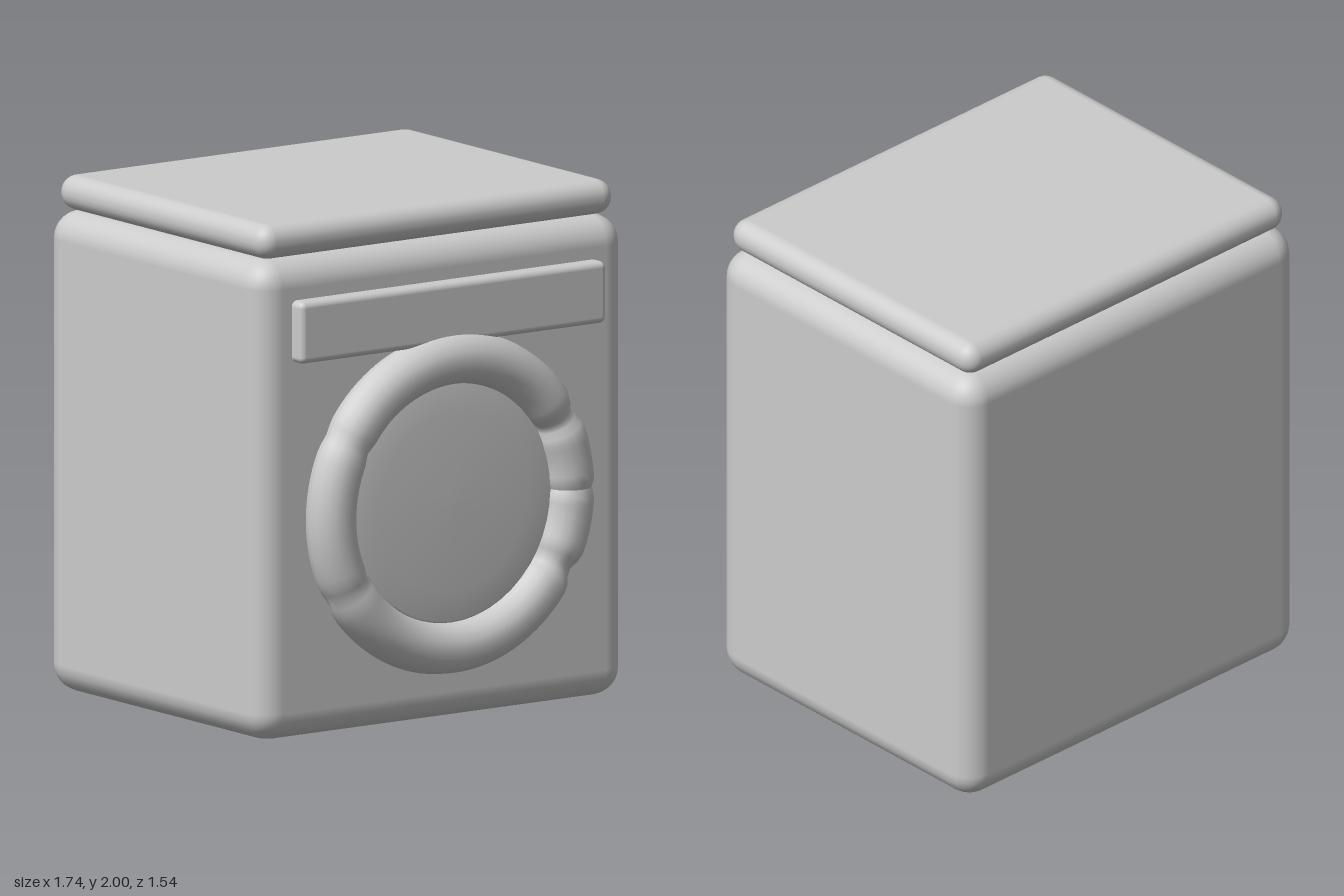
import * as THREE from 'three';
import { RoundedBoxGeometry } from 'three/addons/geometries/RoundedBoxGeometry.js';

export function createModel() {
  const group = new THREE.Group();
  group.name = 'washingMachine';
  const grey = new THREE.MeshStandardMaterial({ color: 0xcccccc });
  grey.name = 'lightGrey';

  const add = (name, geometry, x, y, z) => {
    const mesh = new THREE.Mesh(geometry, grey);
    mesh.name = name;
    mesh.position.set(x, y, z);
    group.add(mesh);
    return mesh;
  };

  // Rounded box given by its size, lower y and front z
  const roundedBox = (name, w, h, d, radius, bottom, front) =>
    add(name, new RoundedBoxGeometry(w, h, d, 3, radius), 0, bottom + h / 2, front - d / 2);

  roundedBox('cabinet', 1.74, 1.865, 1.41, 0.11, 0, 0.64);
  roundedBox('topLid', 1.67, 0.135, 1.352, 0.066, 1.865, 0.612);
  roundedBox('controlPanel', 1.44, 0.24, 0.12, 0.025, 1.47, 0.702);

  // Door ring: a torus whose tube is pinched at a few angles
  const R = 0.56, r = 0.1;
  const pinches = [
    { angle: 0, depth: 0.12, width: 0.03 },
    { angle: 29, depth: 0.28, width: 0.07 },
    { angle: -31, depth: 0.28, width: 0.07 },
    { angle: 150, depth: 0.1, width: 0.06 },
    { angle: 210, depth: 0.1, width: 0.06 },
  ];
  const ring = new THREE.TorusGeometry(R, r, 16, 120);
  const p = ring.attributes.position;
  for (let i = 0; i < p.count; i++) {
    const a = Math.atan2(p.getY(i), p.getX(i));
    let k = 1;
    for (const { angle, depth, width } of pinches) {
      const d = a - THREE.MathUtils.degToRad(angle);
      const near = Math.atan2(Math.sin(d), Math.cos(d)) / width;
      k -= depth * Math.exp(-near * near);
    }
    const radius = R + (Math.hypot(p.getX(i), p.getY(i)) - R) * k;
    p.setXYZ(i, Math.cos(a) * radius, Math.sin(a) * radius, p.getZ(i) * k);
  }
  ring.computeVertexNormals();
  add('doorRing', ring, 0, 0.85, 0.67);

  // Slightly domed door, turned to face the front
  const profile = [[0.468, 0], [0.468, 0.045], [0.46, 0.053], [0.35, 0.06], [0.18, 0.066], [0, 0.068]]
    .map(([x, y]) => new THREE.Vector2(x, y));
  const door = new THREE.LatheGeometry(profile, 48);
  door.rotateX(Math.PI / 2);
  add('door', door, 0, 0.855, 0.635);

  return group;
}
